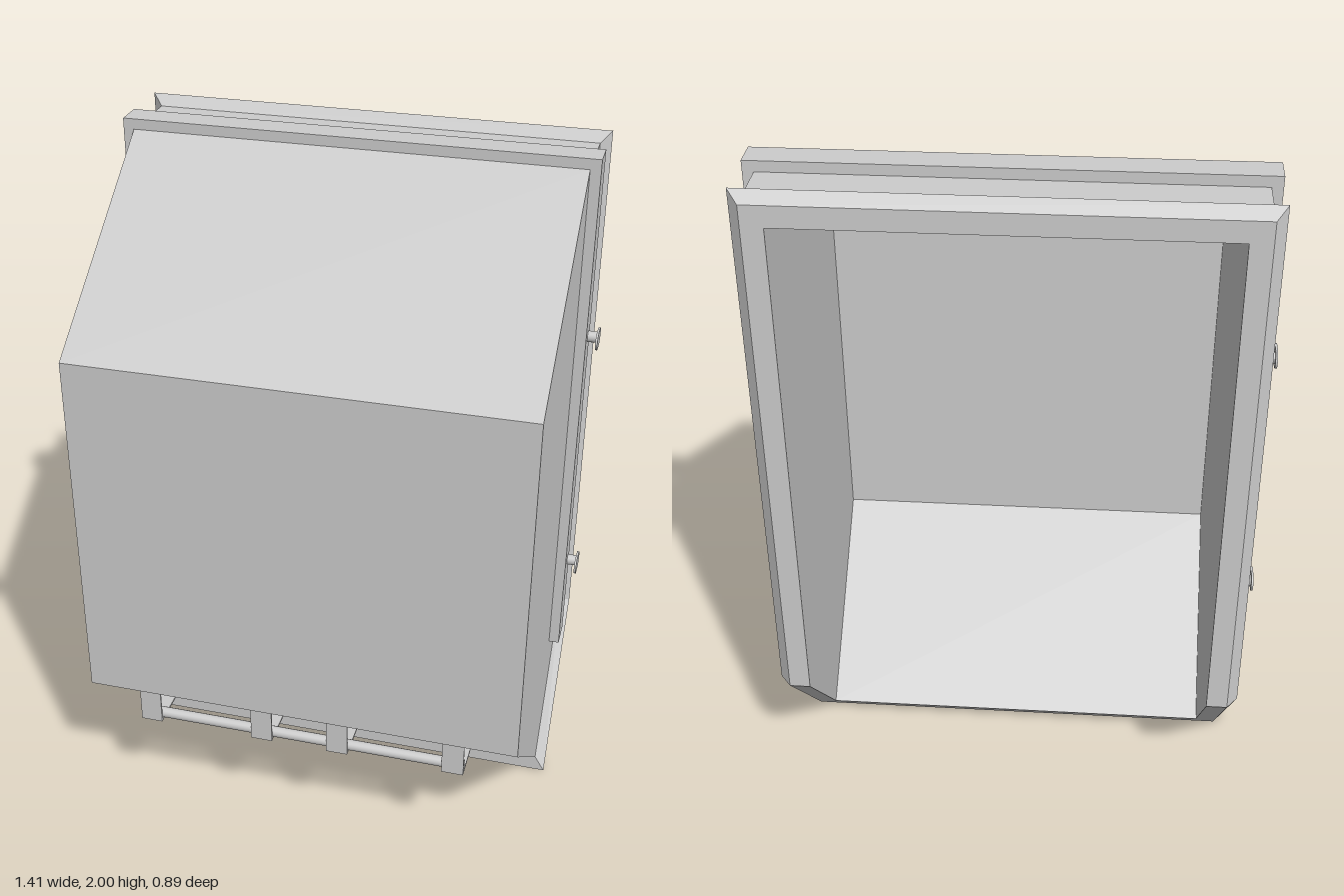
import * as THREE from 'three';

const material = new THREE.MeshStandardMaterial({ color: 0xcccccc, flatShading: true });
const smooth = new THREE.MeshStandardMaterial({ color: 0xcccccc });

// Flat-faced geometry from convex polygons given as lists of [x, y, z]
function fromPolygons(polygons) {
  const positions = [];
  for (const p of polygons) {
    for (let i = 1; i < p.length - 1; i++) positions.push(...p[0], ...p[i], ...p[i + 1]);
  }
  const geometry = new THREE.BufferGeometry();
  geometry.setAttribute('position', new THREE.Float32BufferAttribute(positions, 3));
  geometry.computeVertexNormals();
  return geometry;
}

// Shell open at the back: a [z, y] profile swept across the width, with two side walls.
// The profile runs back top, over the front, to the bottom; the last point is the back kink.
function shell(profile, half, inward) {
  const polygons = [
    profile.map(([z, y]) => [half, y, z]),
    profile.map(([z, y]) => [-half, y, z]).reverse(),
  ];
  for (let i = 0; i < profile.length - 2; i++) {
    const [z0, y0] = profile[i], [z1, y1] = profile[i + 1];
    polygons.push([[half, y0, z0], [-half, y0, z0], [-half, y1, z1], [half, y1, z1]]);
  }
  if (inward) polygons.forEach((p) => p.reverse());
  return fromPolygons(polygons);
}

// Six-cornered rim loop from its half width and its top, kink and bottom [z, y] points
function rimLoop(half, ...points) {
  const side = (x) => points.map(([z, y]) => [x, y, z]);
  return [...side(half), ...side(-half).reverse()];
}

function bridge(loops) {
  const polygons = [];
  for (let k = 0; k < loops.length - 1; k++) {
    const a = loops[k], b = loops[k + 1];
    a.forEach((corner, i) => {
      const j = (i + 1) % a.length;
      polygons.push([corner, a[j], b[j], b[i]]);
    });
  }
  return fromPolygons(polygons);
}

export function createModel() {
  const model = new THREE.Group();
  const add = (parent, name, geometry, x = 0, y = 0, z = 0, mat = material) => {
    const mesh = new THREE.Mesh(geometry, mat);
    mesh.name = name;
    mesh.position.set(x, y, z);
    parent.add(mesh);
    return mesh;
  };
  const box = (parent, name, w, h, d, x, y, z) =>
    add(parent, name, new THREE.BoxGeometry(w, h, d), x, y, z);

  // Hollow body, outside and inside
  add(model, 'outerShell', shell(
    [[-0.39, 1.97], [-0.17, 1.97], [0.45, 1.53], [0.45, 0.46], [-0.04, 0.05], [-0.39, 0.43]], 0.645, false));
  add(model, 'innerShell', shell(
    [[-0.445, 1.91], [-0.19, 1.91], [0.39, 1.5], [0.39, 0.49], [-0.128, 0.054], [-0.445, 0.41]], 0.585, true));

  // Chamfered rim around the open back
  add(model, 'rim', bridge([
    rimLoop(0.645, [-0.39, 1.97], [-0.39, 0.43], [-0.04, 0.05]),
    rimLoop(0.675, [-0.415, 2], [-0.415, 0.42], [-0.04, 0]),
    rimLoop(0.645, [-0.445, 1.97], [-0.445, 0.41], [-0.08, 0]),
    rimLoop(0.585, [-0.445, 1.91], [-0.445, 0.41], [-0.128, 0.054]),
  ]));

  // Reinforcing band over the top and down both sides
  const band = new THREE.Group();
  band.name = 'band';
  model.add(band);
  box(band, 'bandTop', 1.35, 0.03, 0.085, 0, 1.985, -0.21);
  for (const s of [1, -1]) box(band, 'bandSide', 0.03, 1.55, 0.085, s * 0.66, 1.195, -0.21);

  // Side pegs with thin rounded heads
  const headShape = new THREE.Shape();
  headShape.absarc(0.015, 0, 0.026, -Math.PI / 2, Math.PI / 2);
  headShape.absarc(-0.015, 0, 0.026, Math.PI / 2, Math.PI * 1.5);
  const headGeometry = new THREE.ExtrudeGeometry(headShape, { depth: 0.006, bevelEnabled: false, curveSegments: 8 })
    .translate(0, 0, -0.003).rotateY(Math.PI / 2);
  const shaftGeometry = new THREE.CylinderGeometry(0.016, 0.016, 0.03, 16).rotateZ(Math.PI / 2);
  for (const s of [1, -1]) {
    for (const y of [0.705, 1.465]) {
      const peg = new THREE.Group();
      peg.name = 'sidePeg';
      peg.position.set(s * 0.675, y, -0.207);
      model.add(peg);
      add(peg, 'pegShaft', shaftGeometry, s * 0.013, 0, -0.01, smooth);
      add(peg, 'pegHead', headGeometry, s * 0.029, 0, 0);
    }
  }

  // Handle bar under the front, held by four angle brackets
  add(model, 'handleBar', new THREE.CylinderGeometry(0.016, 0.016, 0.98, 16).rotateZ(Math.PI / 2),
    0, 0.374, 0.424, smooth);
  for (const x of [-0.46, -0.115, 0.115, 0.46]) {
    const bracket = new THREE.Group();
    bracket.name = 'handleBracket';
    bracket.position.x = x;
    model.add(bracket);
    box(bracket, 'bracketFront', 0.064, 0.105, 0.006, 0, 0.407, 0.443);
    box(bracket, 'bracketBase', 0.064, 0.006, 0.12, 0, 0.357, 0.386);
  }
  return model;
}
